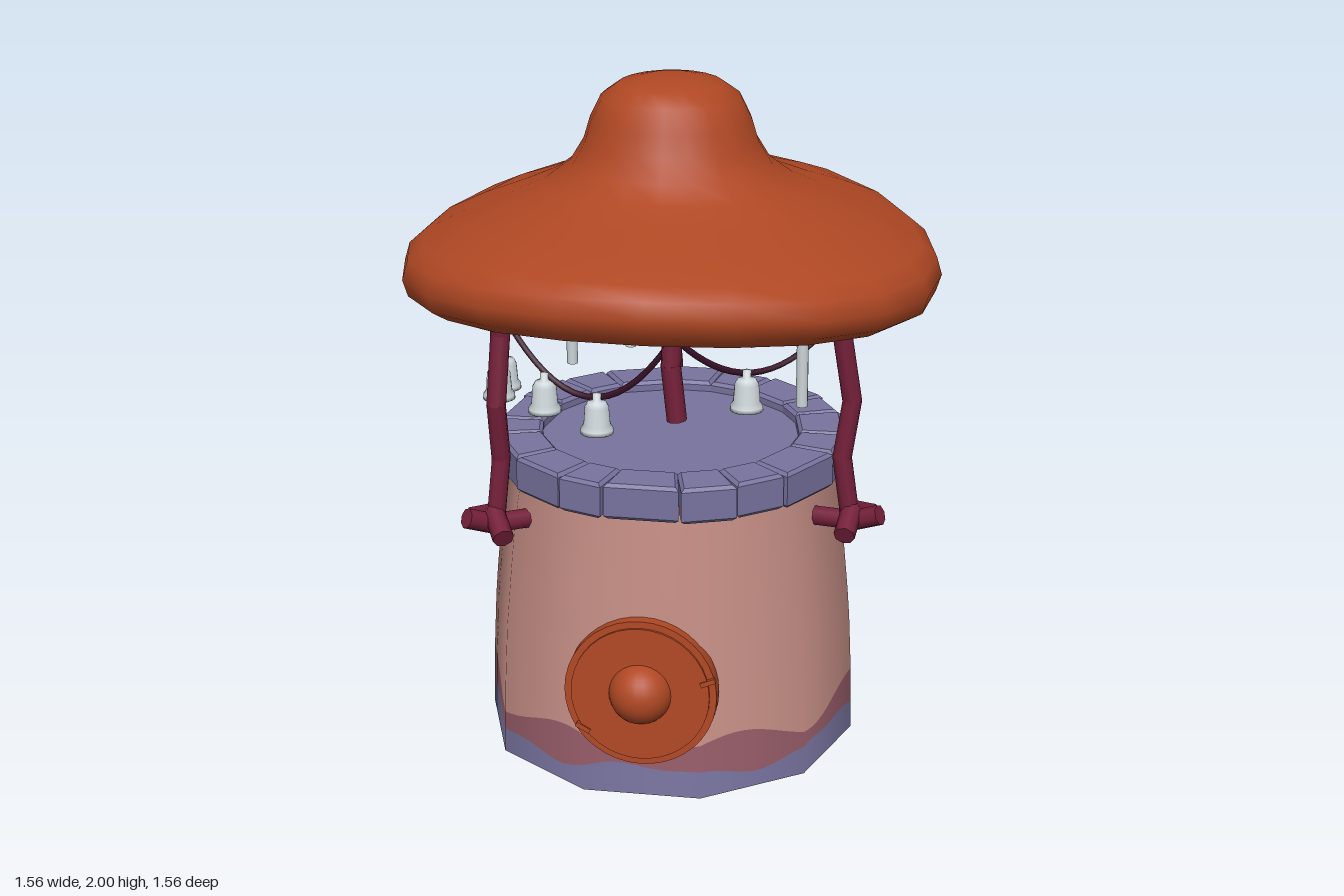
import * as THREE from 'three';
import { mergeVertices } from 'three/addons/utils/BufferGeometryUtils.js';

const V = (x, y, z) => new THREE.Vector3(x, y, z);
const rad = THREE.MathUtils.degToRad;
const material = (name, color, side = THREE.FrontSide) => {
  const m = new THREE.MeshStandardMaterial({ color, side });
  m.name = name;
  return m;
};

export function createModel() {
  const model = new THREE.Group();
  const orange = material('burnt orange', 0xb04824);
  const pink = material('dusty pink plaster', 0xc68f86);
  const mauve = material('mauve stain', 0x965c68);
  const purple = material('slate purple', 0x78739f);
  const crimson = material('crimson wood', 0x75203a);
  const ropeColor = material('dark rope', 0x3a1228);
  const metal = material('pale metal', 0xcdd6da);

  const add = (parent, name, geometry, mat) => {
    const mesh = new THREE.Mesh(geometry, mat);
    mesh.name = name;
    parent.add(mesh);
    return mesh;
  };
  const lathe = (pts, sides, phi = 0) =>
    new THREE.LatheGeometry(pts.map(([x, y]) => new THREE.Vector2(x, y)), sides, phi);

  // Ten-sided tapering wall, split into bands with wavy borders
  const profile = [[0, 0.555], [0.2, 0.55], [0.4, 0.54], [0.6, 0.521], [0.75, 0.505], [0.88, 0.482]];
  const radiusAt = (a, y) => {
    let i = 0;
    while (i < profile.length - 2 && y > profile[i + 1][0]) i++;
    const [[y0, r0], [y1, r1]] = [profile[i], profile[i + 1]];
    const step = Math.PI / 5;
    const local = ((a % step) + step) % step - step / 2;
    return (r0 + (r1 - r0) * (y - y0) / (y1 - y0)) * Math.cos(step / 2) / Math.cos(local);
  };
  const wallBand = (low, high, rows) => {
    const pos = [], nor = [], index = [], n = 120;
    for (let i = 0; i <= n; i++) {
      const a = i / n * Math.PI * 2;
      for (let j = 0; j <= rows; j++) {
        const y = low(a) + (high(a) - low(a)) * j / rows;
        const r = radiusAt(a, y);
        pos.push(r * Math.cos(a), y, r * Math.sin(a));
        nor.push(Math.cos(a), 0.08, Math.sin(a));
        if (i < n && j < rows) {
          const p = i * (rows + 1) + j, q = p + rows + 1;
          index.push(p, p + 1, q, q, p + 1, q + 1);
        }
      }
    }
    const g = new THREE.BufferGeometry();
    g.setAttribute('position', new THREE.Float32BufferAttribute(pos, 3));
    g.setAttribute('normal', new THREE.Float32BufferAttribute(nor, 3));
    g.setIndex(index);
    g.normalizeNormals();
    return g;
  };
  const lowWave = (a) => 0.075 + 0.018 * Math.sin(5 * a) + 0.01 * Math.sin(11 * a + 1);
  const highWave = (a) => 0.16 + 0.028 * Math.cos(6 * (a - rad(57))) + 0.01 * Math.sin(4 * a + 2);
  add(model, 'wallBase', wallBand(() => 0, lowWave, 1), purple);
  add(model, 'wallStain', wallBand(lowWave, highWave, 1), mauve);
  add(model, 'wall', wallBand(highWave, () => 0.88, 8), pink);
  const bottom = add(model, 'bottom', new THREE.CircleGeometry(0.555, 10), purple);
  bottom.rotation.x = Math.PI / 2;

  // Floor and ring of stones around the top
  const floor = add(model, 'floor', new THREE.CircleGeometry(0.43, 32), purple);
  floor.rotation.x = -Math.PI / 2;
  floor.position.y = 0.92;
  const stones = new THREE.Group();
  stones.name = 'stoneRing';
  model.add(stones);
  const count = 18;
  const edge = (i) => (i + 0.14 * Math.sin((i % count) * 2.3)) / count * Math.PI * 2;
  for (let i = 0; i < count; i++) {
    const a = edge(i) + 0.024, b = edge(i + 1) - 0.024;
    const outer = 0.508 + 0.006 * Math.sin(i * 3.7);
    const corner = (r, t) => new THREE.Vector2(r * Math.cos(t), r * Math.sin(t));
    const shape = new THREE.Shape([corner(0.39, a), corner(outer, a), corner(outer, b), corner(0.39, b)]);
    const g = new THREE.ExtrudeGeometry(shape, {
      depth: 0.087, bevelEnabled: true, bevelThickness: 0.01, bevelSize: 0.01, bevelSegments: 1,
    });
    g.rotateX(-Math.PI / 2).translate(0, 0.853, 0);
    add(stones, 'stone', g, purple);
  }

  // Mushroom roof: hollow lathe whose brim droops at the sides and lifts front and back
  const roofGeo = lathe([
    [0, 1.86], [0.1, 1.84], [0.125, 1.76], [0.13, 1.65], [0.3, 1.6], [0.5, 1.5], [0.6, 1.425], [0.66, 1.397],
    [0.72, 1.4], [0.765, 1.43], [0.78, 1.48], [0.765, 1.53], [0.72, 1.565], [0.6, 1.615], [0.47, 1.66],
    [0.36, 1.705], [0.29, 1.755], [0.25, 1.82], [0.232, 1.88], [0.2, 1.945], [0.15, 1.98], [0.08, 1.996], [0, 2],
  ], 20, rad(3.7));
  const p = roofGeo.attributes.position;
  for (let i = 0; i < p.count; i++) {
    const x = p.getX(i), z = p.getZ(i);
    p.setY(i, p.getY(i) - 0.045 * (x * x - z * z) / (0.78 * 0.78));
  }
  roofGeo.deleteAttribute('normal');
  roofGeo.deleteAttribute('uv');
  const roof = mergeVertices(roofGeo, 1e-4);
  roof.computeVertexNormals();
  add(model, 'roof', roof, orange);

  // Round door with raised panel, knob and two small nicks
  const door = new THREE.Group();
  door.name = 'door';
  door.position.set(0, 0.33, 0.5);
  door.rotation.x = -0.04;
  model.add(door);
  const disc = (name, r, z, depth) => {
    const g = new THREE.CylinderGeometry(r, r, depth, 40).rotateX(Math.PI / 2);
    add(door, name, g, orange).position.z = z;
  };
  disc('doorRim', 0.22, 0.02, 0.05);
  disc('doorPanel', 0.2, 0.03, 0.046);
  add(door, 'knob', new THREE.SphereGeometry(0.092, 24, 16), orange).position.z = 0.035;
  for (const [x, y, turn] of [[0.195, 0.05, 0.4], [-0.165, -0.115, -0.5]]) {
    const nick = add(door, 'nick', new THREE.BoxGeometry(0.045, 0.014, 0.016), orange);
    nick.position.set(x, y, 0.05);
    nick.rotation.z = turn;
  }

  // Crooked wooden limbs made of straight pieces
  const limb = (parent, name, pts, r) => {
    for (let i = 0; i < pts.length - 1; i++) {
      const a = V(...pts[i]), b = V(...pts[i + 1]), d = b.clone().sub(a);
      const piece = add(parent, name, new THREE.CylinderGeometry(r, r, d.length() + r * 0.3, 8), crimson);
      piece.position.copy(a).add(b).multiplyScalar(0.5);
      piece.quaternion.setFromUnitVectors(V(0, 1, 0), d.normalize());
    }
  };
  const spot = (deg, name) => {
    const g = new THREE.Group();
    g.name = name;
    g.rotation.y = -rad(deg);
    model.add(g);
    return g;
  };
  for (const deg of [19, 140, 261]) {
    const post = spot(deg, 'post');
    limb(post, 'postShaft', [[0.56, 1.52, 0], [0.553, 1.32, 0.01], [0.58, 1.12, -0.008],
      [0.56, 0.95, 0.008], [0.585, 0.77, 0]], 0.028);
    limb(post, 'footPeg', [[0.46, 0.75, 0], [0.6, 0.76, 0], [0.675, 0.79, 0]], 0.03);
    for (const s of [-1, 1]) limb(post, 'footArm', [[0.59, 0.79, 0], [0.61, 0.75, s * 0.09]], 0.031);
  }
  for (const deg of [80, 200, 320]) {
    limb(spot(deg, 'hangingPeg'), 'peg', [[0.555, 1.52, 0], [0.57, 1.33, 0.008], [0.575, 1.18, -0.008]], 0.028);
  }

  // Sagging ropes between neighbouring posts: start angle, end angle, lowest height
  for (const [a, b, low] of [[19, 80, 1.26], [80, 140, 1.19], [140, 200, 1.16],
    [200, 261, 1.2], [261, 320, 1.23], [320, 379, 1.29]]) {
    const end = (t) => V(0.56 * Math.cos(rad(t)), 1.41, 0.56 * Math.sin(rad(t)));
    const mid = end(a).add(end(b)).multiplyScalar(0.5).setY(2 * low - 1.41);
    const curve = new THREE.QuadraticBezierCurve3(end(a), mid, end(b));
    add(model, 'rope', new THREE.TubeGeometry(curve, 20, 0.009, 6), ropeColor);
  }

  // Chime tubes: x, top height, z
  for (const [x, y, z] of [[-0.36, 1.21, -0.32], [-0.2, 1.23, -0.45], [0.18, 1.25, -0.45],
    [0.34, 1.28, -0.39], [0.49, 1.31, -0.18], [0.5, 1.34, -0.05], [0.42, 1.34, 0.3]]) {
    const tube = add(model, 'chime', new THREE.CylinderGeometry(0.017, 0.017, 0.2, 10), metal);
    tube.position.set(x, y - 0.1, z);
  }
  // Bells: x, top height, z
  const bellGeo = lathe([[0, 0.01], [0.036, 0.01], [0.047, 0], [0.046, 0.012], [0.038, 0.025], [0.034, 0.075],
    [0.026, 0.09], [0.012, 0.095], [0.012, 0.115], [0, 0.117]], 16);
  for (const [x, y, z] of [[0.28, 1.28, 0.42], [-0.13, 1.21, 0.48], [-0.29, 1.24, 0.42],
    [-0.46, 1.21, 0.25], [-0.48, 1.18, 0.08]]) {
    add(model, 'bell', bellGeo, metal).position.set(x, y - 0.115, z);
  }
  return model;
}
